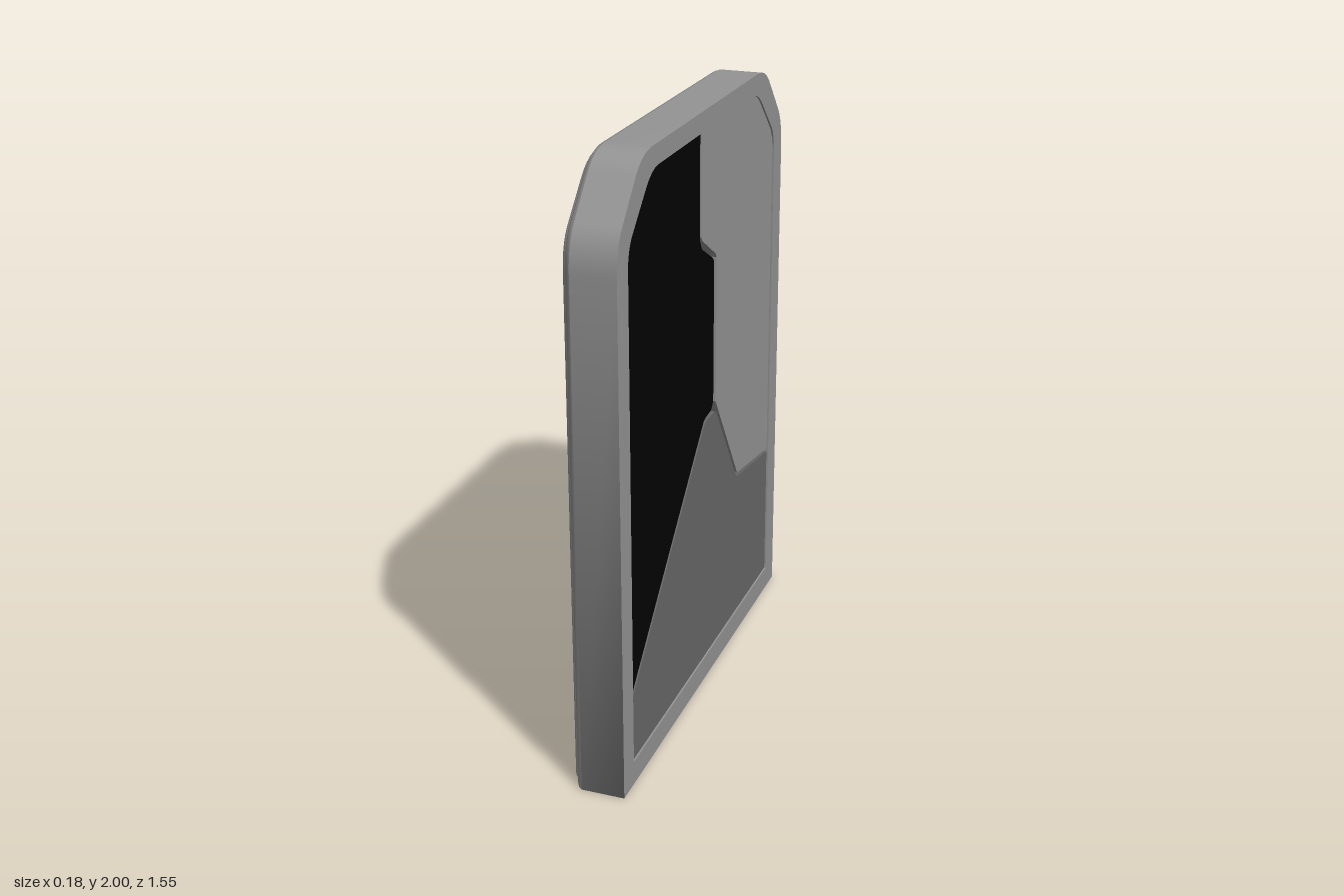
import * as THREE from 'three';
import { mergeVertices, toCreasedNormals } from 'three/addons/utils/BufferGeometryUtils.js';

const V = (x, y) => new THREE.Vector2(x, y);
const paint = (color) => new THREE.MeshStandardMaterial({ color });

// Rounded, chamfered upper right corner: a/b/c bend at the side, d/e/f bend at the top
function corner(a, b, c, d, e, f) {
  return [
    ...new THREE.QuadraticBezierCurve(V(...a), V(...b), V(...c)).getPoints(8),
    ...new THREE.QuadraticBezierCurve(V(...d), V(...e), V(...f)).getPoints(8),
  ];
}
const mirror = (pts) => pts.map((p) => V(-p.x, p.y)).reverse();

// Outer and inner outlines with matching point counts, counter-clockwise
const outerCorner = corner([0.775, 1.69], [0.775, 1.78], [0.73, 1.83], [0.62, 1.95], [0.57, 2], [0.49, 2]);
const innerCorner = corner([0.69, 1.69], [0.69, 1.75], [0.655, 1.785], [0.55, 1.885], [0.5, 1.935], [0.44, 1.935]);
const outline = (w, b, c) => [V(-w, b), V(w, b), ...c, ...mirror(c)];
const outer = outline(0.775, 0, outerCorner);
const inner = outline(0.69, 0.08, innerCorner);

// Open section swept round the outlines; section = [fraction from outer to inner, depth]
function sweep(section) {
  const pos = [];
  const n = outer.length;
  const at = (i, j) => {
    const [t, z] = section[j];
    const p = outer[i % n].clone().lerp(inner[i % n], t);
    return [p.x, p.y, z];
  };
  for (let i = 0; i < n; i++) {
    for (let j = 0; j < section.length - 1; j++) {
      const a = at(i, j), b = at(i + 1, j), c = at(i + 1, j + 1), d = at(i, j + 1);
      pos.push(...a, ...c, ...b, ...a, ...d, ...c);
    }
  }
  const g = new THREE.BufferGeometry();
  g.setAttribute('position', new THREE.Float32BufferAttribute(pos, 3));
  return g;
}

export function createModel() {
  const model = new THREE.Group();
  model.name = 'panelledPlaque';
  const body = new THREE.Group();
  body.name = 'body';
  body.rotation.y = Math.PI / 2; // drawn facing z, turned to face +x
  model.add(body);

  const add = (name, geometry, material) => {
    const mesh = new THREE.Mesh(geometry, material);
    mesh.name = name;
    body.add(mesh);
    return mesh;
  };

  // Frame side: one smooth band, its shading flowing round the bottom corners
  const frameMaterial = paint(0x959595);
  const side = mergeVertices(sweep([[0, 0.088], [0, -0.055]]));
  side.computeVertexNormals();
  add('frameSide', side, frameMaterial);

  // Frame rim: rounded back edge, raised lip, inner wall and flat face
  const rim = [
    [0, -0.055], [0.06, -0.066], [0.18, -0.073], [0.3, -0.075], [0.33, -0.082],
    [0.42, -0.088], [1, -0.088], [1, 0.088], [0, 0.088],
  ];
  add('frameRim', toCreasedNormals(sweep(rim), 0.6), frameMaterial);

  // Three inset panels separated by narrow gaps
  const panels = [
    ['darkPanel', 0x020202, [
      V(-0.69, 0.315), V(-0.02, 0.965), V(0, 0.972), V(0.055, 0.977), V(0.075, 1.0),
      V(0.075, 1.485), V(0.06, 1.5), V(-0.045, 1.56), V(-0.065, 1.595), V(-0.065, 1.935),
      ...mirror(innerCorner),
    ]],
    ['lightPanel', 0x959595, [
      V(0.69, 0.573), ...innerCorner, V(-0.052, 1.935), V(-0.052, 1.6), V(-0.04, 1.585),
      V(0.09, 1.505), V(0.1, 1.49), V(0.1, 0.99), V(0.335, 0.635), V(0.35, 0.625),
    ]],
    ['lowerPanel', 0x686868, [
      V(-0.69, 0.08), V(0.69, 0.08), V(0.69, 0.56), V(0.345, 0.612), V(0.325, 0.625),
      V(0.11, 0.945), V(0.09, 0.958), V(0, 0.958), V(-0.02, 0.945), V(-0.69, 0.295),
    ]],
  ];
  for (const [name, color, pts] of panels) {
    const g = new THREE.ExtrudeGeometry(new THREE.Shape(pts), { depth: 0.112, bevelEnabled: false });
    g.translate(0, 0, -0.03);
    add(name, g, paint(color));
  }

  // Pale backing sheet that shows through the gaps
  const sheet = paint(0xdaf2ff);
  sheet.side = THREE.DoubleSide;
  add('gapBacking', new THREE.ShapeGeometry(new THREE.Shape(inner)), sheet).position.z = -0.02;

  return model;
}
